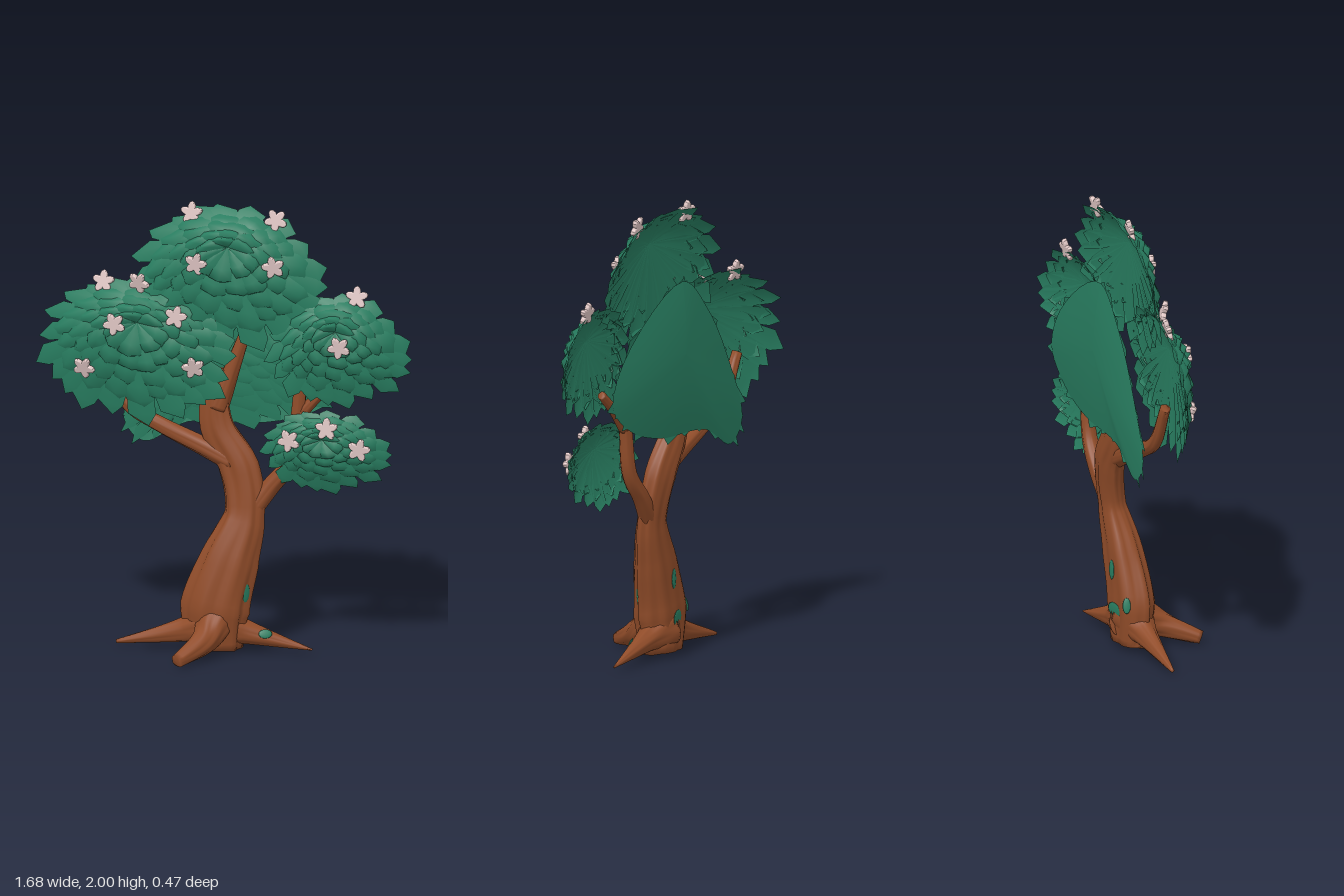
import * as THREE from 'three';
import { mergeGeometries } from 'three/addons/utils/BufferGeometryUtils.js';

function material(name, color, side) {
  const m = new THREE.MeshStandardMaterial({ color, side });
  m.name = name;
  return m;
}
const leafGreen = material('leaf green', 0x287d60, THREE.DoubleSide);
const barkBrown = material('bark brown', 0x904c29, THREE.DoubleSide);
const petalPink = material('petal pink', 0xe0c6c4, THREE.FrontSide);

const V = (x, y, z = 0) => new THREE.Vector3(x, y, z);

function surface(positions, index) {
  const g = new THREE.BufferGeometry();
  g.setAttribute('position', new THREE.Float32BufferAttribute(positions, 3));
  g.setIndex(index);
  g.computeVertexNormals();
  return g;
}

function named(geometry, mat, name) {
  const m = new THREE.Mesh(geometry, mat);
  m.name = name;
  return m;
}

// Crown outline made of four quarter ellipses, counter-clockwise from +x
function ovalEdge(x, y, left, right, up, down) {
  return u => {
    const c = Math.cos(u * Math.PI * 2), s = Math.sin(u * Math.PI * 2);
    return V(x + c * (c > 0 ? right : left), y + s * (s > 0 ? up : down));
  };
}

// Point on a crown dome: s runs from the focus (0) to the edge (1)
function domePoint(c, u, s, lift = 0) {
  const e = c.edge(((u % 1) + 1) % 1);
  const dx = e.x - c.x, dy = e.y - c.y;
  const rim = c.rim + c.tiltX * dx + c.tiltY * dy;
  return V(c.x + dx * s, c.y + dy * s, c.front + (rim - c.front) * s * s + lift);
}

// One pointed leaf with a raised midrib, dipped sides and a swept tip
function leaf(c, u, width, scale, lift, ridge, start) {
  const pos = [], idx = [];
  for (let r = 0; r < 4; r++) {
    const s = THREE.MathUtils.lerp(start, 0.89, r / 3);
    const spread = width * (r === 3 ? 0.75 : 1.05);
    for (const side of [-1, 0, 1]) {
      const bump = side === 0 ? ridge * s : -ridge * s * s;
      pos.push(...domePoint(c, u + side * spread, scale * s, lift * (0.3 + 0.7 * s) + bump));
    }
    for (let a = r * 3; r < 3 && a < r * 3 + 2; a++) idx.push(a, a + 3, a + 4, a, a + 4, a + 1);
  }
  pos.push(...domePoint(c, u + width * 0.3, scale, lift * 0.4 - ridge));
  idx.push(9, 12, 10, 10, 12, 11);
  return surface(pos, idx);
}

// Overlapping tiers of leaves, the outermost one closing the back
function crownGeometry(c) {
  const leaves = [];
  for (let t = 0; t < 5; t++) {
    const n = Math.round(c.count * (1 - t * 0.15));
    const inner = t === 0 || t === 4 ? 0 : 0.4;
    for (let k = 0; k < n; k++) {
      const u = (k + (t % 2) * 0.5 + 0.28 * Math.sin(k * 5.3 + t)) / n;
      const size = (1.03 - t * 0.17) * (1 + 0.04 * Math.sin(k * 2.4 + t * 1.7));
      leaves.push(leaf(c, u, 0.68 / n, size, t * c.step, c.step * (t ? 1.4 : 0.4), inner));
    }
  }
  return mergeGeometries(leaves);
}

// Smooth bulging sheet closing the rear crown
function sheetGeometry(c) {
  const pos = [], idx = [], n = 60, rows = 6;
  for (let r = 0; r <= rows; r++) for (let k = 0; k <= n; k++) {
    const s = r / rows, p = domePoint(c, k / n, s * 0.98);
    pos.push(p.x, p.y, -0.23 + 0.03 * s * s);
    if (r < rows && k < n) {
      const a = r * (n + 1) + k, b = a + n + 1;
      idx.push(a, b + 1, b, a, a + 1, b + 1);
    }
  }
  return surface(pos, idx);
}

// Puffy five-petalled flower
function flowerGeometry() {
  const pts = [];
  for (let i = 0; i < 40; i++) {
    const a = (i / 40) * Math.PI * 2, r = 0.033 + 0.012 * Math.cos(5 * a);
    pts.push(new THREE.Vector2(-r * Math.sin(a), r * Math.cos(a)));
  }
  return new THREE.ExtrudeGeometry(new THREE.Shape(pts), { depth: 0.006, bevelSize: 0.006, bevelThickness: 0.008, bevelSegments: 3 });
}

// Spot on the crown nearest to a front position
function onCrown(c, x, y) {
  let z = 0, nearest = Infinity;
  for (let i = 0; i < 60; i++) for (let j = 0; j <= 16; j++) {
    const p = domePoint(c, i / 60, j / 16, 4 * c.step * (1 - j / 16));
    const d = Math.hypot(p.x - x, p.y - y);
    if (d < nearest) { nearest = d; z = p.z; }
  }
  return V(x, y, z + 0.012);
}

// Limb surface: path points, evenly spread radii, depth squash and twisting bark ridges
function makeLimb(points, radii, squash, ridges) {
  const path = new THREE.CatmullRomCurve3(points.map(([x, y, z = -0.125]) => V(x, y, z)));
  return (t, a) => {
    const f = t * (radii.length - 1), i = Math.min(Math.floor(f), radii.length - 2);
    const r = THREE.MathUtils.lerp(radii[i], radii[i + 1], f - i);
    const p = path.getPoint(t), tangent = path.getTangent(t);
    const side = V(0, 0, 1).cross(tangent).normalize();
    const up = tangent.cross(side);
    const w = r * (1 + ridges * (Math.sin(6 * a + t * 5) + 0.6 * Math.sin(11 * a - t * 4)));
    p.addScaledVector(side, Math.cos(a) * w).addScaledVector(up, Math.sin(a) * w * squash);
    p.y = Math.max(p.y, 0);
    return p;
  };
}

function limbGeometry(point, segs = 24, sides = 32) {
  const pos = [], idx = [];
  for (let i = 0; i <= segs; i++) for (let k = 0; k < sides; k++) {
    pos.push(...point(i / segs, (k / sides) * Math.PI * 2));
    if (i < segs) {
      const a = i * sides + k, b = i * sides + (k + 1) % sides;
      idx.push(a, b, b + sides, a, b + sides, a + sides);
    }
  }
  const top = segs * sides;
  for (let k = 1; k < sides - 1; k++) idx.push(0, k + 1, k, top, top + k, top + k + 1);
  return surface(pos, idx);
}

export function createModel() {
  const tree = new THREE.Group();
  tree.name = 'tree';

  // Trunk
  const trunk = makeLimb(
    [[-0.02, 0.02, -0.075], [-0.02, 0.2, -0.065], [0.04, 0.42, -0.08], [0.1, 0.62, -0.105], [0.07, 0.82, -0.13], [-0.03, 1.0, -0.135], [-0.04, 1.25, -0.14]],
    [0.115, 0.145, 0.122, 0.084, 0.09, 0.075, 0.05], 0.62, 0.055);
  tree.add(named(limbGeometry(trunk, 36, 44), barkBrown, 'trunk'));

  // Branches and roots
  const limb = (name, thick, thin, ...points) => {
    const point = makeLimb(points, [thick, thin], 0.95, 0.04);
    tree.add(named(limbGeometry(point), barkBrown, name));
    return point;
  };
  limb('upperBranch', 0.05, 0.02, [-0.03, 1.08, -0.14], [0.03, 1.24, -0.14], [0.13, 1.52, -0.14]);
  limb('rightBranch', 0.045, 0.024, [0.05, 0.84], [-0.1, 0.91], [-0.28, 0.99], [-0.42, 1.07], [-0.53, 1.26]);
  limb('leftBranch', 0.042, 0.027, [0.11, 0.6, -0.105], [0.21, 0.74], [0.3, 0.86], [0.33, 1.05], [0.35, 1.28]);
  limb('leftTwig', 0.026, 0.018, [0.34, 1.07], [0.43, 1.17], [0.52, 1.25]);
  limb('rightRoot', 0.1, 0.008, [-0.02, 0.13, -0.065], [-0.16, 0.09, -0.06], [-0.46, 0.02, -0.06]);
  const leftRoot = limb('leftRoot', 0.1, 0.004, [-0.02, 0.12, -0.075], [0.11, 0.09, -0.085], [0.4, 0.022, -0.11]);
  limb('frontRoot', 0.085, 0.03, [-0.01, 0.15, -0.05], [-0.04, 0.085, 0.06], [-0.125, 0.025, 0.22]);

  // Moss patches lying on the bark
  const moss = (point, t, a, width, length) => {
    const p = point(t, a);
    const normal = point(t, a + 0.05).sub(p).cross(point(t + 0.01, a).sub(p));
    const patch = named(new THREE.SphereGeometry(1, 12, 8).scale(width, length, 0.005), leafGreen, 'mossPatch');
    patch.position.copy(p);
    patch.lookAt(normal.add(p));
    tree.add(patch);
  };
  moss(trunk, 0.25, 2.8, 0.02, 0.045);
  moss(trunk, 0.28, -1.4, 0.02, 0.045);
  moss(trunk, 0.14, -1.5, 0.045, 0.035);
  moss(trunk, 0.17, -0.8, 0.018, 0.035);
  moss(leftRoot, 0.66, 0.9, 0.03, 0.02);

  // Crowns with their flowers
  const blossom = flowerGeometry();
  const crown = (name, c, ...flowers) => {
    tree.add(named(crownGeometry(c), leafGreen, name));
    flowers.forEach(([x, y], i) => {
      const f = named(blossom, petalPink, 'flower');
      f.position.copy(onCrown(c, x, y));
      f.lookAt(f.position.clone().add(V((x - c.x) * 0.8, (y - c.y) * 1.6, 1)));
      f.rotateZ(i * 0.5);
      tree.add(f);
    });
  };
  crown('topCrown',
    { x: 0.04, y: 1.83, front: -0.05, rim: -0.13, tiltX: 0, tiltY: -0.18, count: 20, step: 0.012, edge: ovalEdge(0.03, 1.64, 0.44, 0.43, 0.35, 0.27) },
    [-0.14, 1.95], [0.235, 1.94], [-0.095, 1.755], [0.245, 1.755], [-0.36, 1.64]);
  crown('rightCrown',
    { x: -0.36, y: 1.47, front: -0.035, rim: -0.095, tiltX: 0.14, tiltY: -0.08, count: 21, step: 0.012, edge: ovalEdge(-0.38, 1.33, 0.45, 0.45, 0.31, 0.31) },
    [-0.53, 1.62], [-0.455, 1.465], [-0.185, 1.51], [-0.105, 1.29], [-0.6, 1.25]);
  crown('leftCrown',
    { x: 0.52, y: 1.48, front: -0.045, rim: -0.1, tiltX: -0.12, tiltY: -0.08, count: 18, step: 0.012, edge: ovalEdge(0.52, 1.33, 0.31, 0.31, 0.3, 0.19) },
    [0.6, 1.62], [0.545, 1.42]);
  crown('lowCrown',
    { x: 0.46, y: 0.99, front: -0.045, rim: -0.085, tiltX: -0.04, tiltY: 0.05, count: 18, step: 0.01, edge: ovalEdge(0.46, 0.91, 0.28, 0.29, 0.2, 0.17) },
    [0.485, 1.045], [0.315, 0.98], [0.625, 0.955]);

  // Peaked rear crown with two drooping lobes
  const peaked = new THREE.CatmullRomCurve3(
    [V(0, 1.68), V(-0.2, 1.52), V(-0.36, 1.27), V(-0.47, 0.98), V(-0.38, 0.88), V(-0.18, 0.98), V(0.18, 1.0), V(0.41, 1.07), V(0.55, 1.2), V(0.46, 1.4)], true);
  const rear = { x: 0.02, y: 1.36, front: -0.18, rim: -0.195, tiltX: 0, tiltY: 0.01, count: 24, step: 0.003, edge: u => peaked.getPoint(u) };
  crown('rearCrown', rear);
  tree.add(named(sheetGeometry(rear), leafGreen, 'rearCrownSheet'));
  return tree;
}
